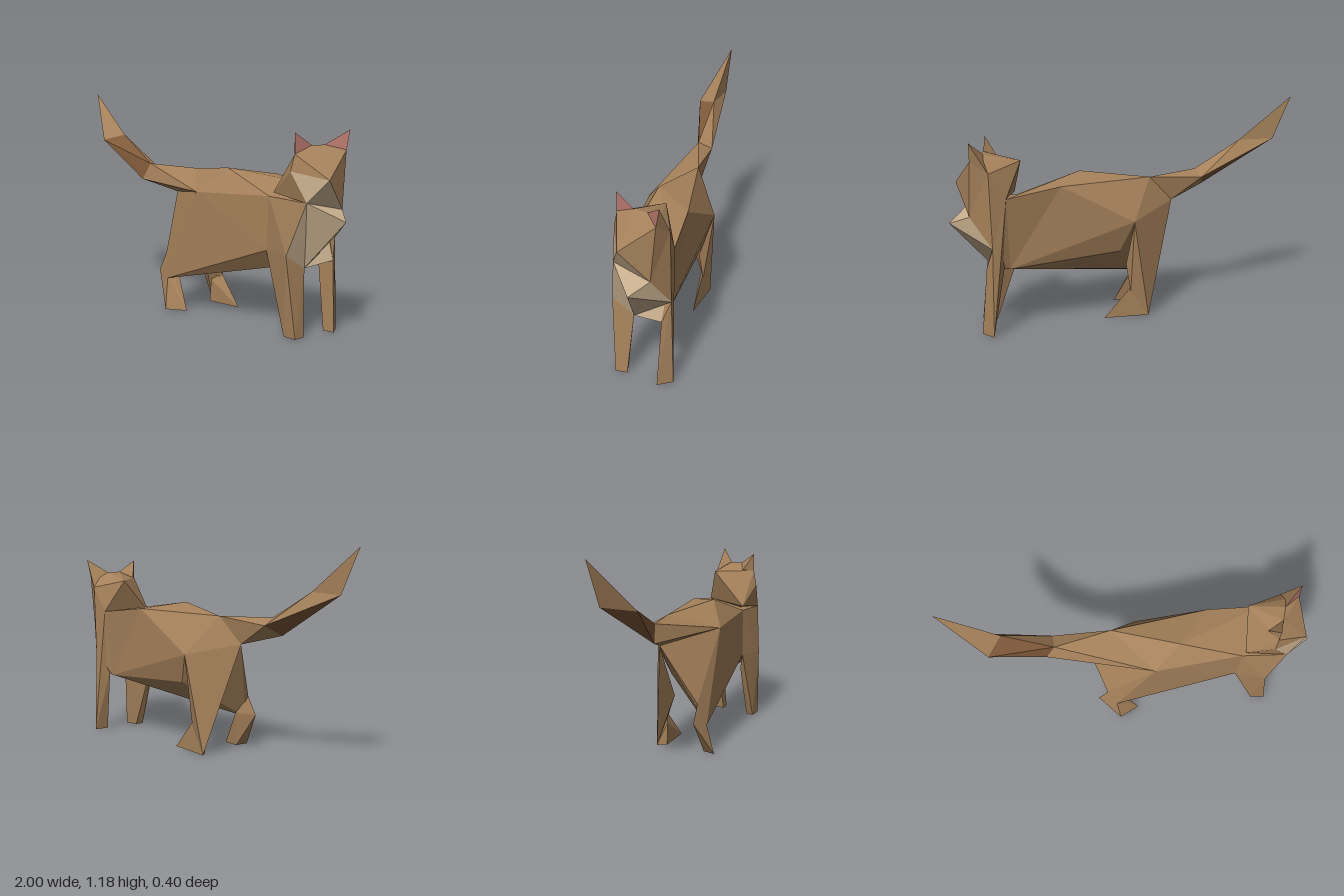
import * as THREE from 'three';
import { ConvexGeometry } from 'three/addons/geometries/ConvexGeometry.js';

const makeMat = (name, color) => {
  const m = new THREE.MeshStandardMaterial({ color, flatShading: true, side: THREE.DoubleSide });
  m.name = name;
  return m;
};

export function createModel() {
  const fur = makeMat('brown fur', 0xa5815a);
  const russet = makeMat('russet fur', 0x805a3a);
  const cream = makeMat('cream bib', 0xc6ad8d);
  const pink = makeMat('pink ear', 0xb5766b);
  const cat = new THREE.Group();
  cat.name = 'cat';

  // Faceted hull; facets whose corners all belong to one of the sets get the tint.
  function part(name, points, tint, ...sets) {
    const geo = new ConvexGeometry(points.map(p => new THREE.Vector3(...p)));
    const pos = geo.attributes.position;
    const near = (i, p) => Math.hypot(pos.getX(i) - p[0], pos.getY(i) - p[1], pos.getZ(i) - p[2]) < 1e-4;
    for (let i = 0; i < pos.count; i += 3) {
      const tinted = sets.some(set => [i, i + 1, i + 2].every(k => set.some(p => near(k, p))));
      geo.addGroup(i, 3, tinted ? 1 : 0);
    }
    const mesh = new THREE.Mesh(geo, tint ? [fur, tint] : fur);
    mesh.name = name;
    cat.add(mesh);
  }

  // Shared corners: shoulders, hips, back
  const shoulderNear = [0.6, 0.7, 0.1], shoulderFar = [0.73, 0.74, -0.17];
  const spine = [0.26, 0.815, 0.05], withers = [0.43, 0.78, -0.155];
  const hipNear = [0.12, 0.68, 0.15], hipFar = [0.03, 0.56, -0.2];
  const croup = [-0.11, 0.775, -0.07], rump = [-0.25, 0.63, -0.05];
  const kneeNear = [-0.1, 0.17, 0.165], buttock = [-0.15, 0.3, 0.13];
  const elbow = [0.59, 0.42, 0.105], elbowFar = [0.71, 0.35, -0.13], belly = [0.62, 0.33, 0.03];

  // Chest corners
  const throat = [0.85, 0.69, 0.105], breast = [1, 0.6, -0.015], jaw = [0.91, 0.645, -0.1];
  const sideFar = [0.81, 0.48, -0.175], legFar = [0.835, 0.37, -0.13];
  const sternum = [0.78, 0.345, 0.03], legNear = [0.76, 0.42, 0.15];

  // Head corners
  const nose = [0.945, 0.805, 0.05], cheek = [0.76, 0.84, 0.125], cheekFar = [0.82, 0.88, -0.175];
  const earOutNear = [0.77, 0.925, 0.105], earInNear = [0.8, 0.965, 0.01];
  const earOutFar = [0.905, 0.94, -0.13], earInFar = [0.82, 0.965, -0.065];
  const tipNear = [0.77, 1.03, 0.105], tipFar = [0.91, 1.04, -0.15];

  // Body
  part('torso', [
    shoulderNear, spine, withers, croup, hipNear, hipFar, rump, elbow, kneeNear, buttock,
    [0.07, 0.23, 0.04], belly, elbowFar, [0.1, 0.39, -0.15],
  ]);
  part('shoulders', [shoulderNear, shoulderFar, spine, withers, elbow, elbowFar, belly]);

  // Chest with its bib, the point of the breast and the patch below it
  part('chest', [
    throat, jaw, sideFar, sternum, legNear, shoulderNear, shoulderFar, elbow, elbowFar, belly,
  ], cream, [throat, jaw, sideFar, sternum, legNear]);
  part('breast', [throat, breast, jaw, sideFar, sternum], cream, [throat, breast, jaw, sideFar, sternum]);
  part('lowerBib', [sternum, sideFar, legFar, elbowFar], cream, [sternum, sideFar, legFar]);

  // Head and neck
  part('head', [
    nose, cheek, cheekFar, earOutNear, earInNear, earOutFar, earInFar, throat, jaw,
    [0.63, 0.925, -0.1], [0.62, 0.72, 0.09], shoulderFar,
  ], cream, [nose, cheek, throat, jaw]);
  part('farNeck', [cheekFar, jaw, sideFar, shoulderFar]);

  // Ears
  part('nearEar', [tipNear, earOutNear, earInNear, [0.72, 0.93, 0.05]], pink, [tipNear, earOutNear, earInNear]);
  part('farEar', [tipFar, earOutFar, earInFar, cheekFar], pink, [tipFar, earOutFar, earInFar]);

  // Front legs
  part('nearFrontLeg', [
    elbow, legNear, sternum, [0.62, 0.33, 0.08],
    [0.73, 0, 0.125], [0.81, 0, 0.13], [0.81, 0, 0.065], [0.74, 0, 0.08],
  ]);
  part('farFrontLeg', [
    shoulderFar, sideFar, legFar, [0.74, 0.36, -0.13],
    [0.865, 0, -0.11], [0.82, 0, -0.185], [0.8, 0, -0.105],
  ]);

  // Hind legs
  part('nearHindLeg', [
    [-0.205, 0.2, 0.13], buttock, kneeNear, [-0.08, 0.2, 0.1],
    [-0.08, 0, 0.2], [-0.06, 0, 0.13], [0.03, 0, 0.14],
  ]);
  part('farThigh', [hipFar, rump, [-0.07, 0, -0.16], [0.03, 0.14, -0.14], [0.05, 0.3, -0.12], [-0.04, 0.3, -0.06]]);
  part('farHindFoot', [
    [0.03, 0.17, -0.14], [-0.03, 0.13, -0.11], [-0.07, 0, -0.16], [-0.04, 0, -0.11], [0.18, 0, -0.12],
  ]);

  // Tail: three-sided segments
  const ringA = [[-0.42, 0.785, 0.01], [-0.47, 0.69, 0.03], [-0.43, 0.75, -0.07]];
  const ringB = [[-0.69, 0.94, -0.015], [-0.76, 0.91, 0.09], [-0.89, 0.94, -0.045]];
  part('tailBase', [croup, hipNear, rump, ...ringA]);
  part('tailMiddle', [...ringA, ...ringB], russet,
    [ringA[0], ringA[1], ringB[0], ringB[1]], [ringA[1], ringA[2], ringB[1], ringB[2]]);
  part('tailTip', [...ringB, [-1, 1.18, -0.05]]);

  return cat;
}
